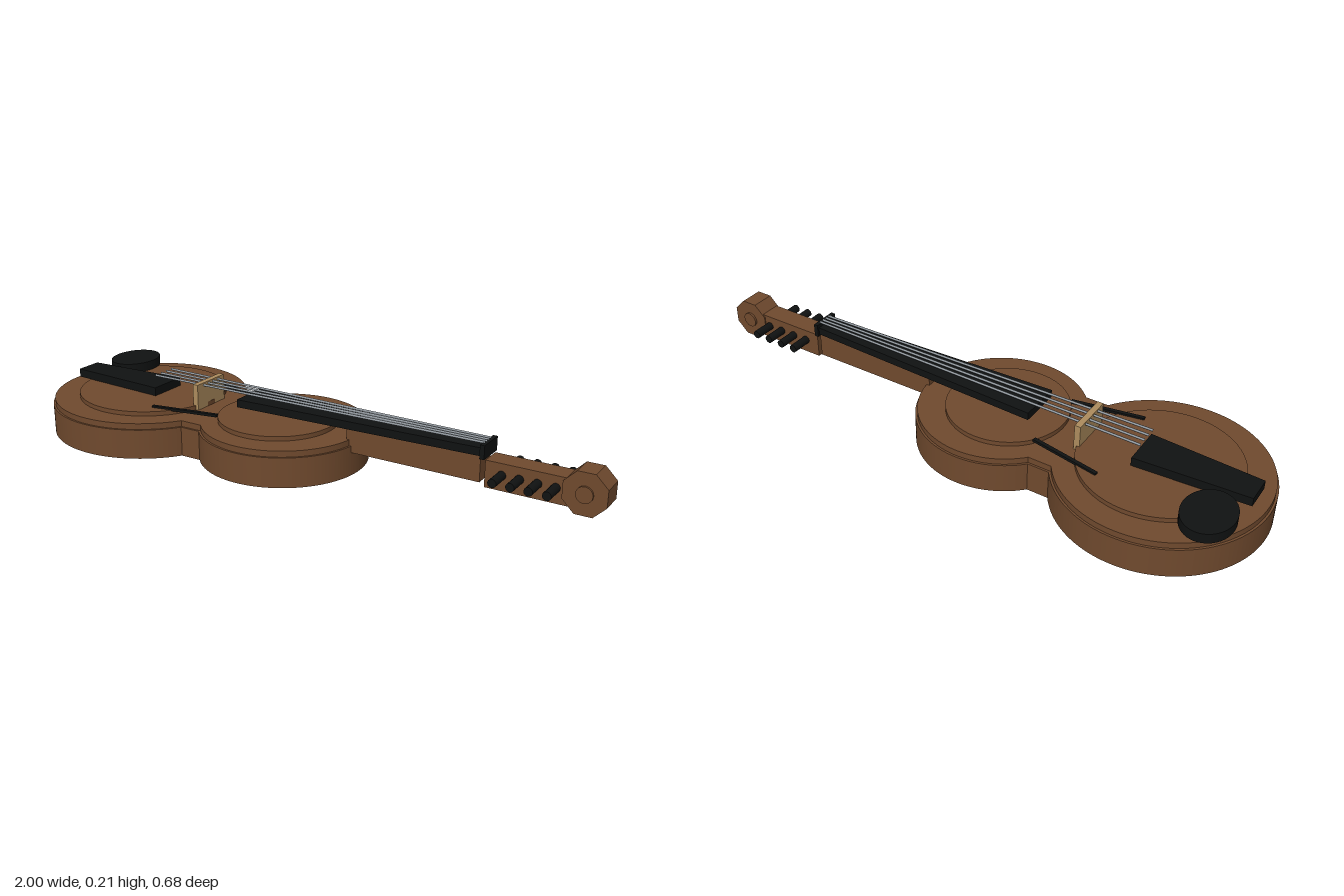
import * as THREE from 'three';

const mat = (name, color) => {
  const m = new THREE.MeshStandardMaterial({ color });
  m.name = name;
  return m;
};

export function createModel() {
  const wood = mat('brown wood', 0x704a2e);
  const black = mat('ebony', 0x101212);
  const tan = mat('pale maple', 0xae8d5e);
  const steel = mat('string steel', 0x90979d);
  const group = new THREE.Group();

  const add = (name, geometry, material, x = 0, y = 0, z = 0) => {
    const mesh = new THREE.Mesh(geometry, material);
    mesh.name = name;
    mesh.position.set(x, y, z);
    group.add(mesh);
    return mesh;
  };
  const box = (name, material, x0, x1, y0, y1, halfZ) =>
    add(name, new THREE.BoxGeometry(x1 - x0, y1 - y0, halfZ * 2), material, (x0 + x1) / 2, (y0 + y1) / 2);

  // Flat slab lying on y0, extruded up to y1
  const slab = (name, shape, material, y0, y1) => {
    const g = new THREE.ExtrudeGeometry(shape, { depth: y1 - y0, bevelEnabled: false, curveSegments: 56 });
    g.rotateX(-Math.PI / 2);
    return add(name, g, material, 0, y0);
  };

  // Two round bouts joined by a narrow waist
  const bodyShape = (inset) => {
    const rl = 0.34 - inset, ru = 0.28 - inset, waist = 0.19 - inset;
    const a = Math.asin(waist / rl), b = Math.asin(waist / ru);
    const s = new THREE.Shape();
    s.absarc(-0.66, 0, rl, a, Math.PI * 2 - a, false);
    s.absarc(-0.1, 0, ru, -Math.PI + b, Math.PI - b, false);
    s.closePath();
    return s;
  };
  slab('bodyRibs', bodyShape(0), wood, 0, 0.1);
  slab('bodyTop', bodyShape(0.007), wood, 0.1, 0.12);

  // Raised discs of the arched top
  [['lowerArch', -0.65, 0.255], ['upperArch', -0.12, 0.2]].forEach(([name, x, r]) =>
    add(name, new THREE.CylinderGeometry(r, r, 0.015, 64), wood, x, 0.1275));

  // Tapered board, half widths w0 at x0 and w1 at x1
  const taper = (x0, w0, x1, w1) => new THREE.Shape([
    new THREE.Vector2(x0, -w0), new THREE.Vector2(x1, -w1),
    new THREE.Vector2(x1, w1), new THREE.Vector2(x0, w0)]);
  slab('fingerboard', taper(-0.235, 0.073, 0.62, 0.04), black, 0.162, 0.188);
  slab('tailpiece', taper(-0.955, 0.046, -0.585, 0.068), black, 0.135, 0.164);

  // Neck, nut and bridge
  box('neck', wood, 0.16, 0.615, 0.078, 0.162, 0.037);
  box('nut', black, 0.615, 0.63, 0.155, 0.2, 0.047);
  box('bridge', tan, -0.416, -0.396, 0.12, 0.208, 0.073);

  // Chin rest
  add('chinRest', new THREE.CylinderGeometry(1, 1, 0.033, 48), black, -0.873, 0.151, -0.167)
    .scale.set(0.08, 1, 0.099);

  // Slanted sound holes, mirrored
  for (const side of [-1, 1]) {
    const hole = add('soundHole', new THREE.BoxGeometry(0.24, 0.009, 0.013), black, -0.402, 0.1365, side * 0.139);
    hole.rotation.y = side * 0.18;
  }

  // Strings converge towards the nut
  for (let i = 0; i < 4; i++) {
    const k = i - 1.5;
    const curve = new THREE.LineCurve3(
      new THREE.Vector3(-0.6, 0.2, k * 0.028), new THREE.Vector3(0.622, 0.2, k * 0.015));
    add('string', new THREE.TubeGeometry(curve, 1, 0.004, 8), steel);
  }

  // Pegbox with four pegs through it
  box('pegbox', wood, 0.63, 0.9, 0.066, 0.152, 0.036);
  for (let i = 0; i < 4; i++) {
    add('peg', new THREE.CylinderGeometry(0.014, 0.014, 0.214, 12), black, 0.683 + i * 0.055, 0.115)
      .rotation.x = Math.PI / 2;
  }

  // Eight-sided scroll with a small round eye on both sides
  const scroll = new THREE.CylinderGeometry(0.0715, 0.0715, 0.08, 8).toNonIndexed();
  scroll.rotateY(Math.PI / 8).rotateX(Math.PI / 2);
  scroll.computeVertexNormals();
  add('scroll', scroll, wood, 0.934, 0.116);
  add('scrollEye', new THREE.CylinderGeometry(0.026, 0.026, 0.094, 16), wood, 0.934, 0.116)
    .rotation.x = Math.PI / 2;

  return group;
}
